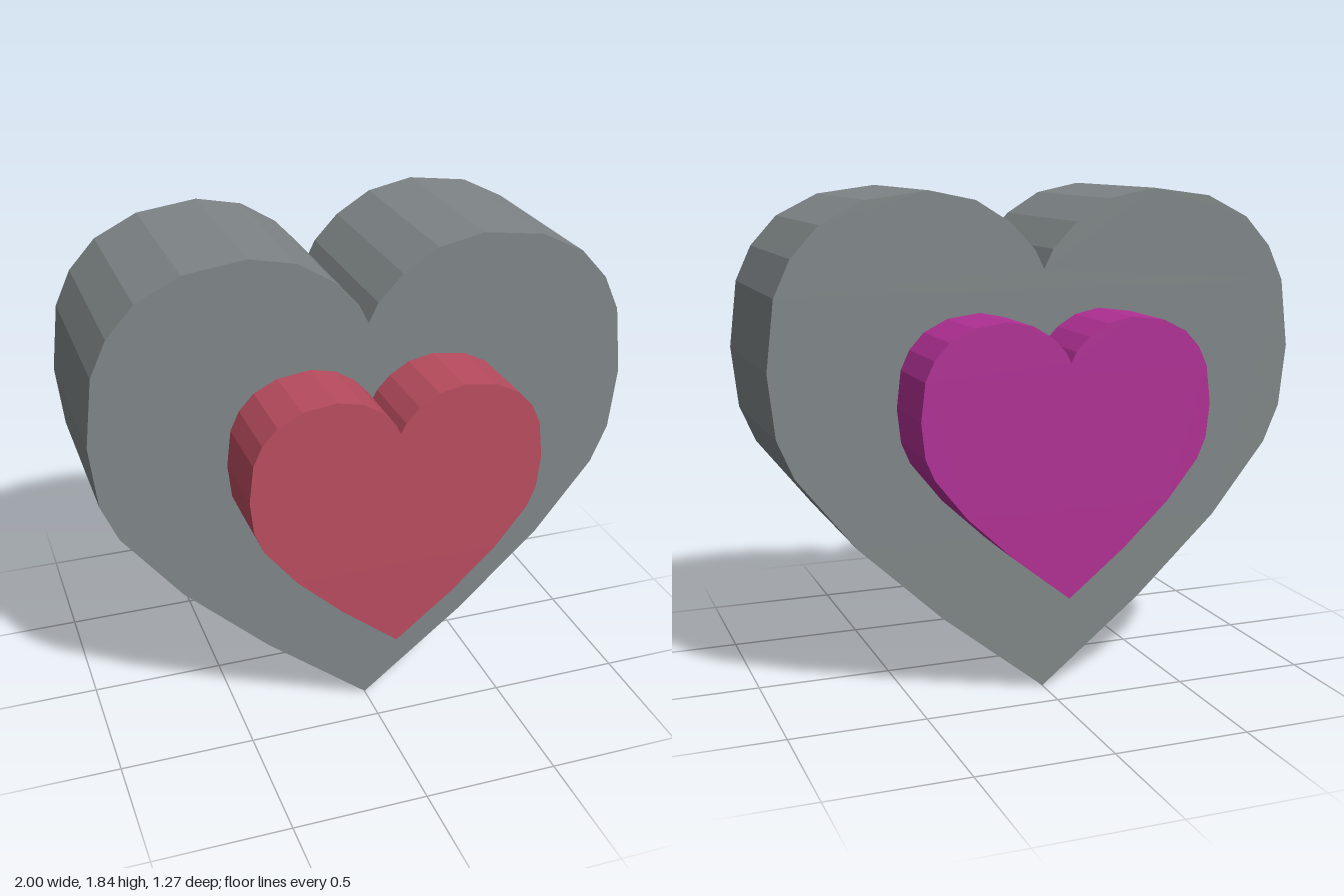
import * as THREE from 'three';

// Right half of the heart outline, from the bottom tip up to the notch
const HALF = [
  [0, 0], [0.39, 0.31], [0.7, 0.6], [0.915, 0.87], [0.975, 1.01], [1, 1.24], [0.97, 1.49],
  [0.91, 1.62], [0.81, 1.73], [0.65, 1.81], [0.425, 1.84], [0.255, 1.805], [0.125, 1.725],
  [0.035, 1.63], [0, 1.56],
];

// Closed heart: the right half plus its mirror image
function heartShape() {
  const mirrored = HALF.slice(1, -1).reverse().map(([x, y]) => [-x, y]);
  return new THREE.Shape([...HALF, ...mirrored].map(([x, y]) => new THREE.Vector2(x, y)));
}

// Faceted heart slab between two depths
function heart(name, color, scale, x, y, zBack, zFront) {
  const geometry = new THREE.ExtrudeGeometry(heartShape(), { depth: zFront - zBack, bevelEnabled: false });
  geometry.scale(scale, scale, 1);
  const mesh = new THREE.Mesh(geometry, new THREE.MeshStandardMaterial({ color, flatShading: true }));
  mesh.name = name;
  mesh.position.set(x, y, zBack);
  return mesh;
}

export function createModel() {
  const group = new THREE.Group();
  group.name = 'layeredHeart';
  group.add(heart('body', 0x7f8587, 1, 0, 0, -0.35, 0.35));
  // Small raised hearts, sunk slightly into the body
  group.add(heart('frontHeart', 0xb84c5e, 0.535, 0.015, 0.43, 0.33, 0.635));
  group.add(heart('backHeart', 0xb03094, 0.535, 0.015, 0.43, -0.635, -0.33));
  return group;
}
